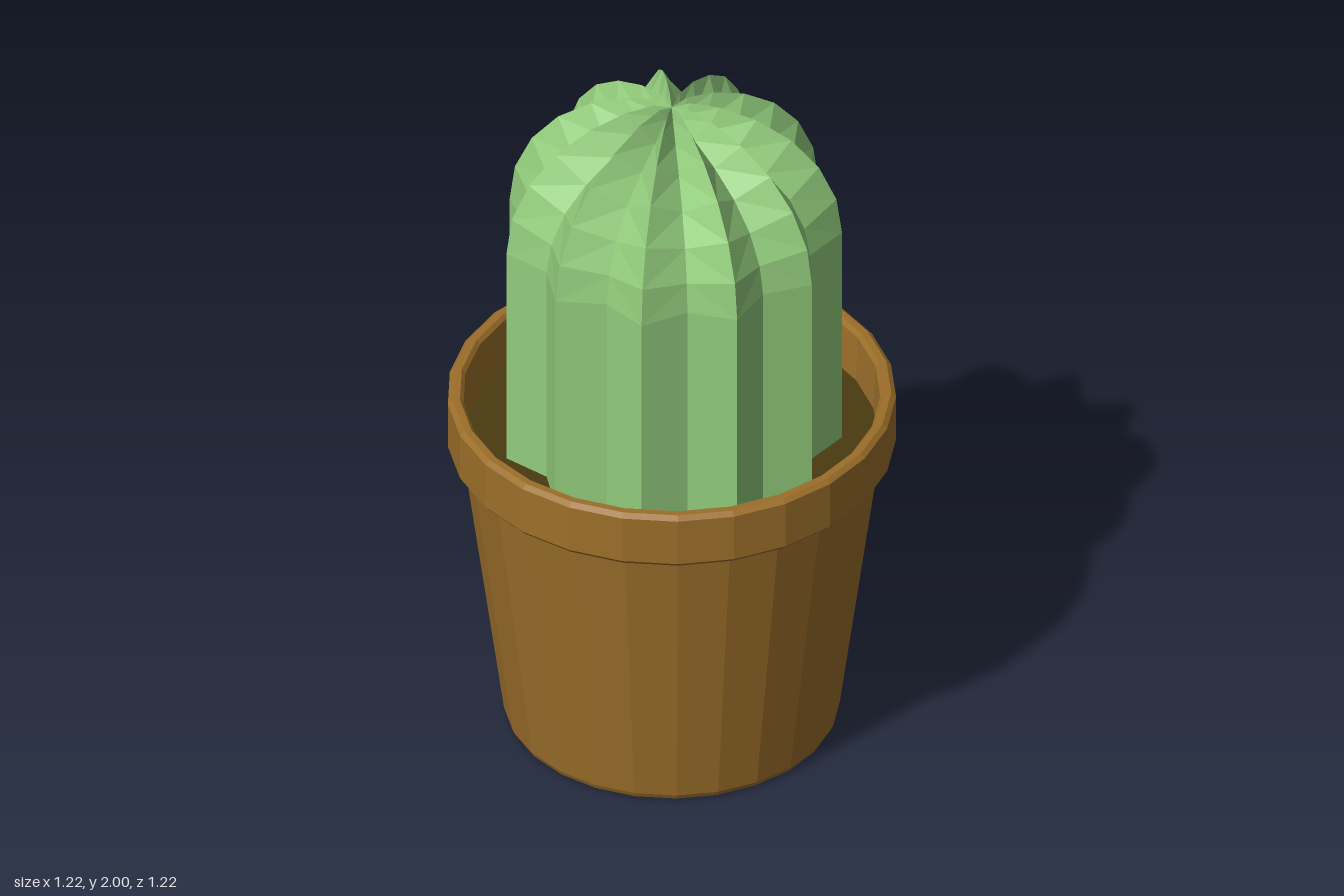
import * as THREE from 'three';

const SIDES = 25; // pot facets
const RIBS = 11; // cactus ribs
const SOIL_Y = 0.9;

const flat = (color) => new THREE.MeshStandardMaterial({ color, flatShading: true });

function named(name, geometry, material) {
  const mesh = new THREE.Mesh(geometry, material);
  mesh.name = name;
  return mesh;
}

// Lathe with a corner pointing to +x
function lathe(points) {
  return new THREE.LatheGeometry(
    points.map(([r, y]) => new THREE.Vector2(r, y)), SIDES, Math.PI / 2);
}

// Star-shaped body: ridge and valley profiles alternate around the axis
function ribbedBody(ridge, valley, tipY) {
  const n = RIBS * 2;
  const positions = [];
  const index = [];
  ridge.forEach((_, row) => {
    for (let i = 0; i < n; i++) {
      const [r, y] = (i % 2 ? valley : ridge)[row];
      const a = (i / n) * Math.PI * 2;
      positions.push(r * Math.cos(a), y, r * Math.sin(a));
    }
  });
  positions.push(0, tipY, 0);
  const tip = ridge.length * n;
  const last = (ridge.length - 1) * n;
  for (let i = 0; i < n; i++) {
    const j = (i + 1) % n;
    for (let row = 0; row < ridge.length - 1; row++) {
      const a = row * n + i, b = row * n + j, c = a + n, d = b + n;
      // split each panel along the same rib-to-valley diagonal
      if (i % 2) index.push(a, c, b, b, c, d);
      else index.push(a, d, b, a, c, d);
    }
    index.push(last + i, tip, last + j);
  }
  const geometry = new THREE.BufferGeometry();
  geometry.setAttribute('position', new THREE.Float32BufferAttribute(positions, 3));
  geometry.setIndex(index);
  geometry.computeVertexNormals();
  return geometry;
}

export function createModel() {
  const model = new THREE.Group();
  model.name = 'pottedCactus';

  const clay = flat(0x9c6f2a);

  // Tapered pot with a small bevel at the foot
  model.add(named('pot', lathe([
    [0, 0], [0.44, 0], [0.45, 0.005], [0.457, 0.02], [0.572, 0.89],
  ]), clay));

  // Thick bevelled collar, running down inside to the soil
  model.add(named('potRim', lathe([
    [0.565, 0.885], [0.6, 0.885], [0.61, 0.897], [0.61, 1.038], [0.597, 1.05],
    [0.577, 1.05], [0.567, 1.038], [0.56, SOIL_Y - 0.02],
  ]), clay));

  const soil = named('soil', new THREE.CircleGeometry(0.565, SIDES), flat(0x4a3a10));
  soil.rotation.x = -Math.PI / 2;
  soil.position.y = SOIL_Y;
  model.add(soil);

  // Ridges form a round dome, valleys a steeper one
  const ridge = [
    [0.463, SOIL_Y - 0.02], [0.463, 1.58], [0.448, 1.69], [0.4, 1.795],
    [0.325, 1.883], [0.23, 1.948], [0.13, 1.988], [0.05, 2],
  ];
  const valley = [
    [0.395, SOIL_Y - 0.02], [0.395, 1.58], [0.38, 1.665], [0.338, 1.752],
    [0.27, 1.825], [0.185, 1.885], [0.1, 1.928], [0.035, 1.965],
  ];
  model.add(named('cactus', ribbedBody(ridge, valley, 1.985), flat(0x92cc7c)));

  return model;
}
